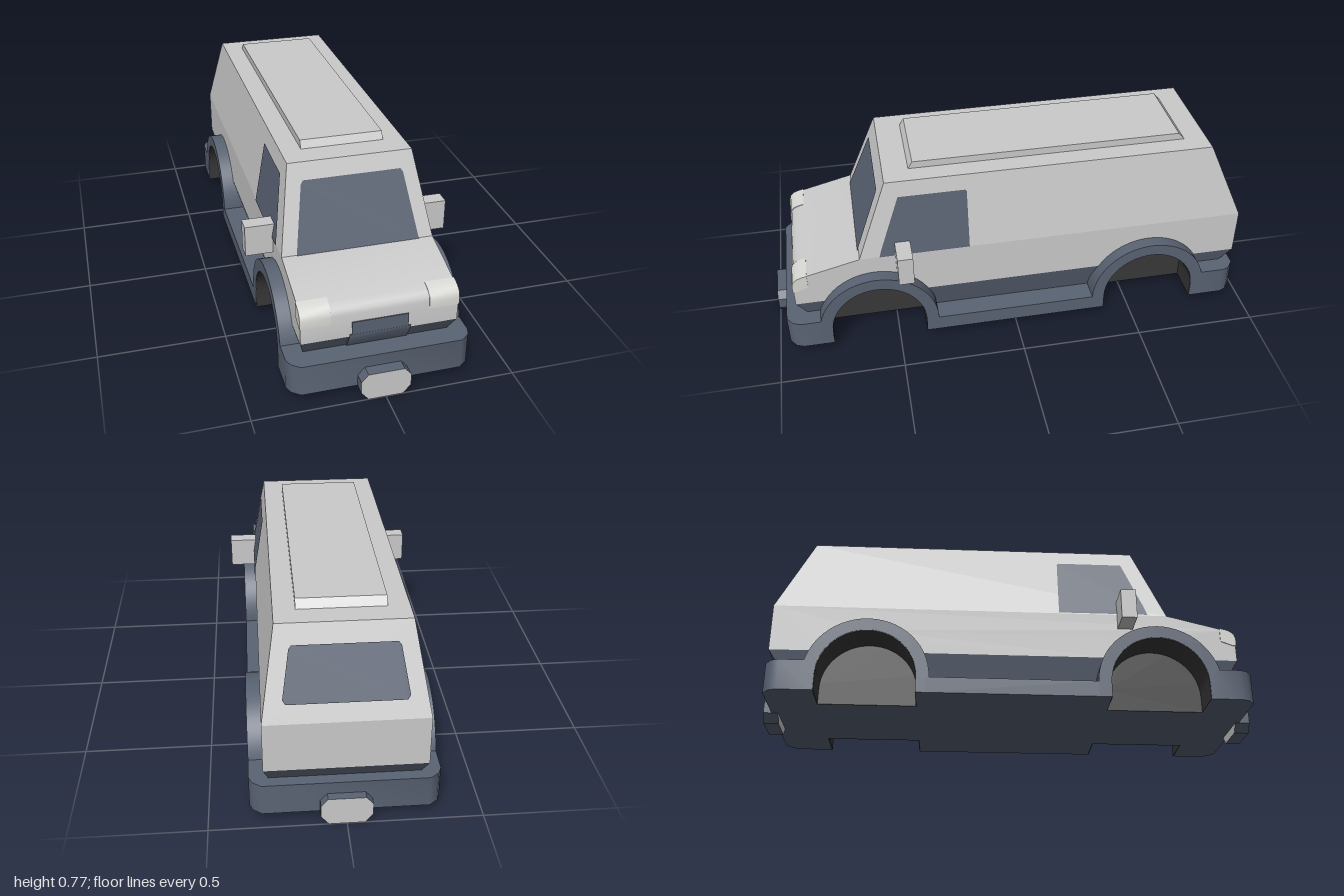
import * as THREE from 'three';
import { toCreasedNormals } from 'three/addons/utils/BufferGeometryUtils.js';

const mat = (name, color) => new THREE.MeshStandardMaterial({ name, color, side: THREE.DoubleSide });
const paint = mat('light grey paint', 0xcacaca);
const slate = mat('slate trim and glass', 0x5a6373);
const liner = mat('wheel well black', 0x383838);
const lamp = mat('lamp white', 0xd8d8d4);

const WHEELS = [0.58, -0.575]; // wheel centre z
const HUB = 0.1;               // wheel centre y
const CUT = 0.22;              // radius cut out of the body

const shapeOf = pts => new THREE.Shape(pts.map(p => new THREE.Vector2(p[0], p[1])));

// Points on an arc around a wheel centre, as [z, y]
function arc(c, r, t0, t1, n = 18) {
  return Array.from({ length: n + 1 }, (_, i) => {
    const t = t0 + (t1 - t0) * i / n;
    return [c + r * Math.cos(t), HUB + r * Math.sin(t)];
  });
}

// Side profile [z, y] extruded across x; widthAt(y) optionally tapers the flanks
function extrudeX(pts, x0, x1, widthAt) {
  const g = new THREE.ExtrudeGeometry(shapeOf(pts), { depth: x1 - x0, bevelEnabled: false });
  g.rotateY(-Math.PI / 2).translate(x1, 0, 0);
  if (widthAt) {
    const p = g.attributes.position;
    for (let i = 0; i < p.count; i++) p.setX(i, Math.sign(p.getX(i)) * widthAt(p.getY(i)));
  }
  return toCreasedNormals(g, 0.6);
}

// Flat convex panel from 3D corners
function panel(corners) {
  const pos = [];
  for (let i = 1; i < corners.length - 1; i++) pos.push(...corners[0], ...corners[i], ...corners[i + 1]);
  const g = new THREE.BufferGeometry();
  g.setAttribute('position', new THREE.Float32BufferAttribute(pos, 3));
  g.computeVertexNormals();
  return g;
}

export function createModel() {
  const group = new THREE.Group();
  const add = (name, geometry, material) => {
    const m = new THREE.Mesh(geometry, material);
    m.name = name;
    group.add(m);
    return m;
  };

  // Lower body with rounded nose and wheel cut-outs
  const a = Math.asin(0.125 / CUT);
  add('lowerBody', extrudeX([
    [0.635, 0.42], [0.87, 0.362], [0.89, 0.353], [0.904, 0.341], [0.91, 0.322], [0.91, 0.225],
    ...WHEELS.flatMap(c => arc(c, CUT, a, Math.PI - a)),
    [-0.965, 0.225], [-0.965, 0.42],
  ], -0.297, 0.297), paint);

  // Cabin, leaning in towards the roof
  const cabinX = y => 0.297 - (y - 0.42) * 0.169;
  add('cabin', extrudeX([[0.635, 0.42], [0.51, 0.74], [-0.825, 0.74], [-0.965, 0.42]], -1, 1, cabinX), paint);

  // Raised roof panel
  add('roofPanel', extrudeX([[0.41, 0.735], [0.39, 0.77], [-0.705, 0.77], [-0.735, 0.735]], -0.163, 0.163), paint);

  // Dark skirt below the body, in three stretches between the wheels
  const [f, r] = WHEELS;
  const skirtX = y => 0.297 - (0.225 - y) * 0.29;
  [
    [[0.91, 0.225], [0.833, 0.1], ...arc(f, CUT, 0, a)],
    [...arc(f, CUT, Math.PI - a, Math.PI), ...arc(r, CUT, 0, a)],
    [...arc(r, CUT, Math.PI - a, Math.PI), [-0.88, 0.1], [-0.965, 0.225]],
  ].forEach(pts => add('skirt', extrudeX(pts, -1, 1, skirtX), slate));

  // Chassis floor and side sills
  const box = (name, w, h, d, x, y, z, m) => add(name, new THREE.BoxGeometry(w, h, d).translate(x, y, z), m);
  box('floor', 0.4, 0.065, 1.62, 0, 0.0675, 0, slate);
  box('sills', 0.7, 0.065, 0.69, 0, 0.0675, 0, slate);

  // Bumpers with rounded corners
  const bumper = (name, s, inner, outer) => {
    const half = [[0.35, inner], [0.35, outer - 0.055], [0.338, outer - 0.025], [0.305, outer]];
    const pts = [...half, ...half.map(([x, z]) => [-x, z]).reverse()].map(([x, z]) => [x, -z * s]);
    const g = new THREE.ExtrudeGeometry(shapeOf(pts), { depth: 0.125, bevelEnabled: false });
    add(name, toCreasedNormals(g.rotateX(-Math.PI / 2).translate(0, 0.035, 0), 0.8), slate);
  };
  bumper('frontBumper', 1, 0.79, 0.955);
  bumper('rearBumper', -1, 0.785, 0.967);

  // Fenders and wheel wells
  const legs = (c, rad) => [[c + rad, 0.035], ...arc(c, rad, 0, Math.PI, 28), [c - rad, 0.035]];
  const band = (c, out, inn) => [...legs(c, out), ...legs(c, inn).reverse()];
  for (const c of WHEELS) for (const s of [-1, 1]) {
    const span = (x0, x1) => s > 0 ? [x0, x1] : [-x1, -x0];
    add('fender', extrudeX(band(c, 0.246, 0.196), ...span(0.2, 0.35)), slate);
    add('wheelWell', extrudeX(band(c, 0.199, 0.194), ...span(0.2, 0.348)), liner);
    add('wheelWellBack', extrudeX(legs(c, 0.197), ...span(0.198, 0.204)), liner);
  }

  // Windscreen and rear window
  const across = half => [...half, ...half.map(([x, y]) => [-x, y]).reverse()];
  add('windscreen', panel(across([[0.24, 0.42], [0.199, 0.665], [0.19, 0.678]])
    .map(([x, y]) => [x, y, 0.64 - (y - 0.42) * 0.391])), slate);
  add('rearWindow', panel(across([[0.212, 0.485], [0.222, 0.5], [0.195, 0.66], [0.185, 0.672]])
    .map(([x, y]) => [-x, y, -0.97 + (y - 0.42) * 0.4375])), slate);

  // Side windows and mirrors
  for (const s of [-1, 1]) {
    const corners = [[0.555, 0.422], [0.19, 0.422], [0.19, 0.67], [0.195, 0.677], [0.462, 0.677], [0.545, 0.455]];
    if (s < 0) corners.reverse();
    add('sideWindow', panel(corners.map(([z, y]) => [s * (cabinX(y) + 0.004), y, z])), slate);
    box('mirror', 0.125, 0.125, 0.062, s * 0.3425, 0.418, 0.46, paint);

    // Headlamps wrapped around the nose corners
    const x = s > 0 ? [0.185, 0.3] : [-0.3, -0.185];
    add('headlamp', extrudeX([[0.85, 0.31], [0.9, 0.292], [0.913, 0.292], [0.913, 0.323], [0.907, 0.343],
      [0.892, 0.356], [0.872, 0.364], [0.85, 0.369]], ...x), lamp);
  }

  // Grille, following the nose down over the skirt
  add('grilleTop', extrudeX([[0.914, 0.225], [0.914, 0.288], [0.906, 0.288], [0.906, 0.225]], -0.107, 0.107), slate);
  add('grilleBottom', extrudeX([[0.9145, 0.235], [0.9145, 0.225], [0.876, 0.16], [0.868, 0.16], [0.906, 0.235]],
    -0.116, 0.116), slate);

  // Number plate blocks, light faces with dark edges
  for (const s of [-1, 1]) {
    const pts = across([[0.066, 0], [0.095, 0.035], [0.095, 0.082], [0.069, 0.112]]);
    const g = new THREE.ExtrudeGeometry(shapeOf(pts), { depth: 0.06, bevelEnabled: false });
    add('plateBlock', g.translate(0, 0, s > 0 ? 0.94 : -1), [paint, slate]);
  }

  return group;
}
